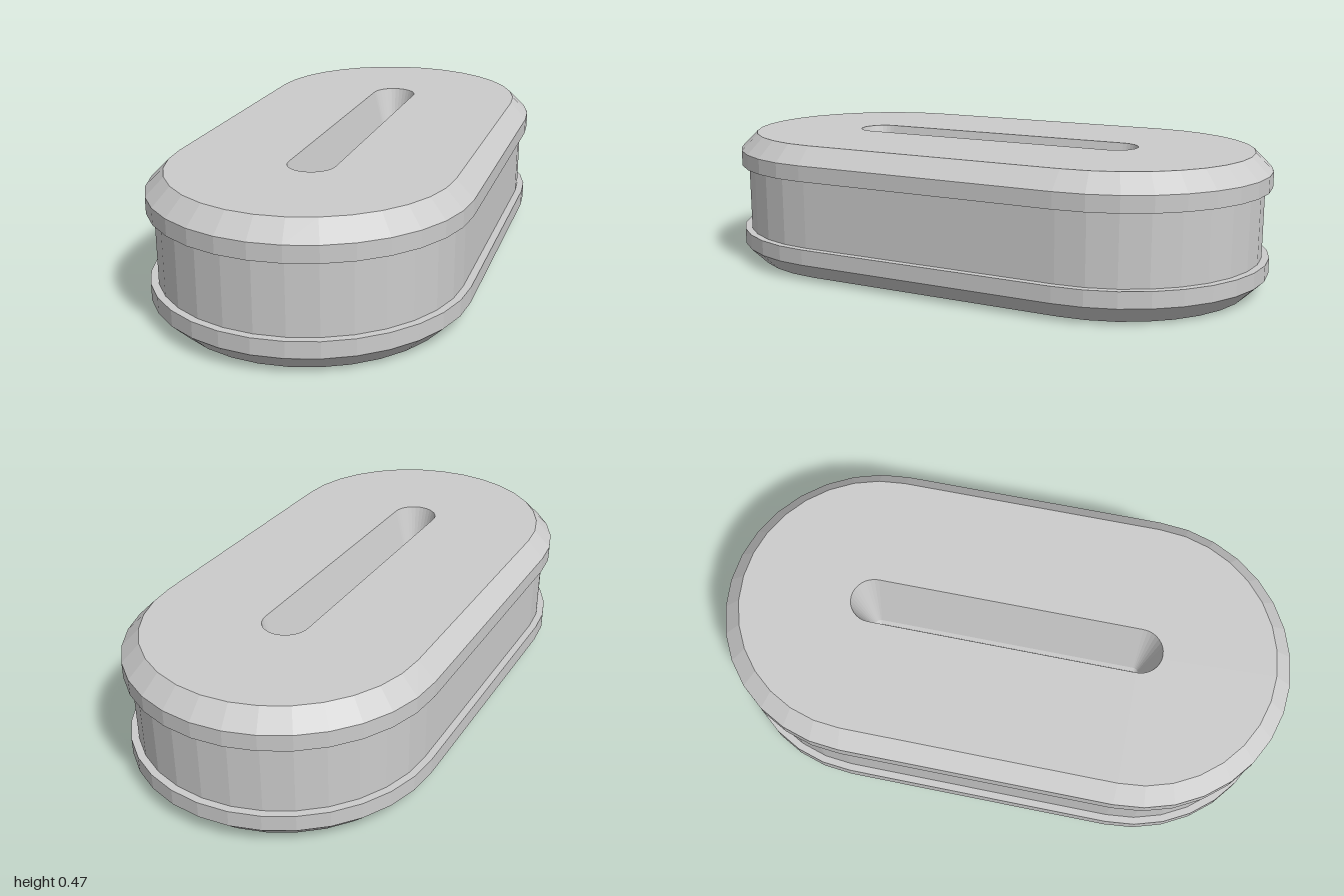
import * as THREE from 'three';

const HALF_STRAIGHT = 0.47; // half length of the straight sides
const SEGMENTS = 16; // facets per rounded end

// Stadium outline of radius r, counter-clockwise from above, as [x, -z] points
function stadium(r) {
  const points = [];
  for (const end of [0, 1]) {
    for (let i = 0; i <= SEGMENTS; i++) {
      const a = Math.PI * (end + i / SEGMENTS);
      points.push(new THREE.Vector2(r * Math.cos(a), r * Math.sin(a) + HALF_STRAIGHT * (end ? -1 : 1)));
    }
  }
  return points;
}

// Skin through stadium rings given as [radius, y]
function loft(profile) {
  const positions = [];
  const index = [];
  const count = 2 * (SEGMENTS + 1);
  profile.forEach(([r, y], k) => {
    stadium(r).forEach((p, i) => {
      positions.push(p.x, y, -p.y);
      if (k === 0) return;
      const j = (i + 1) % count;
      const low = (k - 1) * count;
      const high = k * count;
      index.push(low + i, low + j, high + j, low + i, high + j, high + i);
    });
  });
  const geometry = new THREE.BufferGeometry();
  geometry.setAttribute('position', new THREE.Float32BufferAttribute(positions, 3));
  geometry.setIndex(index);
  geometry.computeVertexNormals();
  return geometry;
}

// Flat upward-facing stadium at height y, optionally with a slot in it
function plate(r, y, slot) {
  const shape = new THREE.Shape(stadium(r));
  if (slot) shape.holes.push(new THREE.Path(stadium(slot).reverse()));
  return new THREE.ShapeGeometry(shape).rotateX(-Math.PI / 2).translate(0, y, 0);
}

export function createModel() {
  const group = new THREE.Group();
  const material = new THREE.MeshStandardMaterial({
    color: 0xcccccc, flatShading: true, side: THREE.DoubleSide,
  });
  const add = (name, geometry) => {
    const mesh = new THREE.Mesh(geometry, material);
    mesh.name = name;
    group.add(mesh);
  };

  // Thin shell, open underneath: two chamfered rims around a recessed wall
  add('lowerRim', loft([[0.47, 0], [0.53, 0.06], [0.53, 0.115], [0.505, 0.115]]));
  add('sideWall', loft([[0.505, 0.115], [0.505, 0.355]]));
  add('upperRim', loft([[0.505, 0.355], [0.53, 0.355], [0.53, 0.41], [0.47, 0.47]]));

  // Top with a tapered trough sunk through it
  add('topPlate', plate(0.47, 0.47, 0.08));
  add('slotWalls', loft([[0.08, 0.47], [0.02, 0.235], [0.01, 0.22]]));
  add('slotFloor', plate(0.01, 0.22));

  return group;
}
